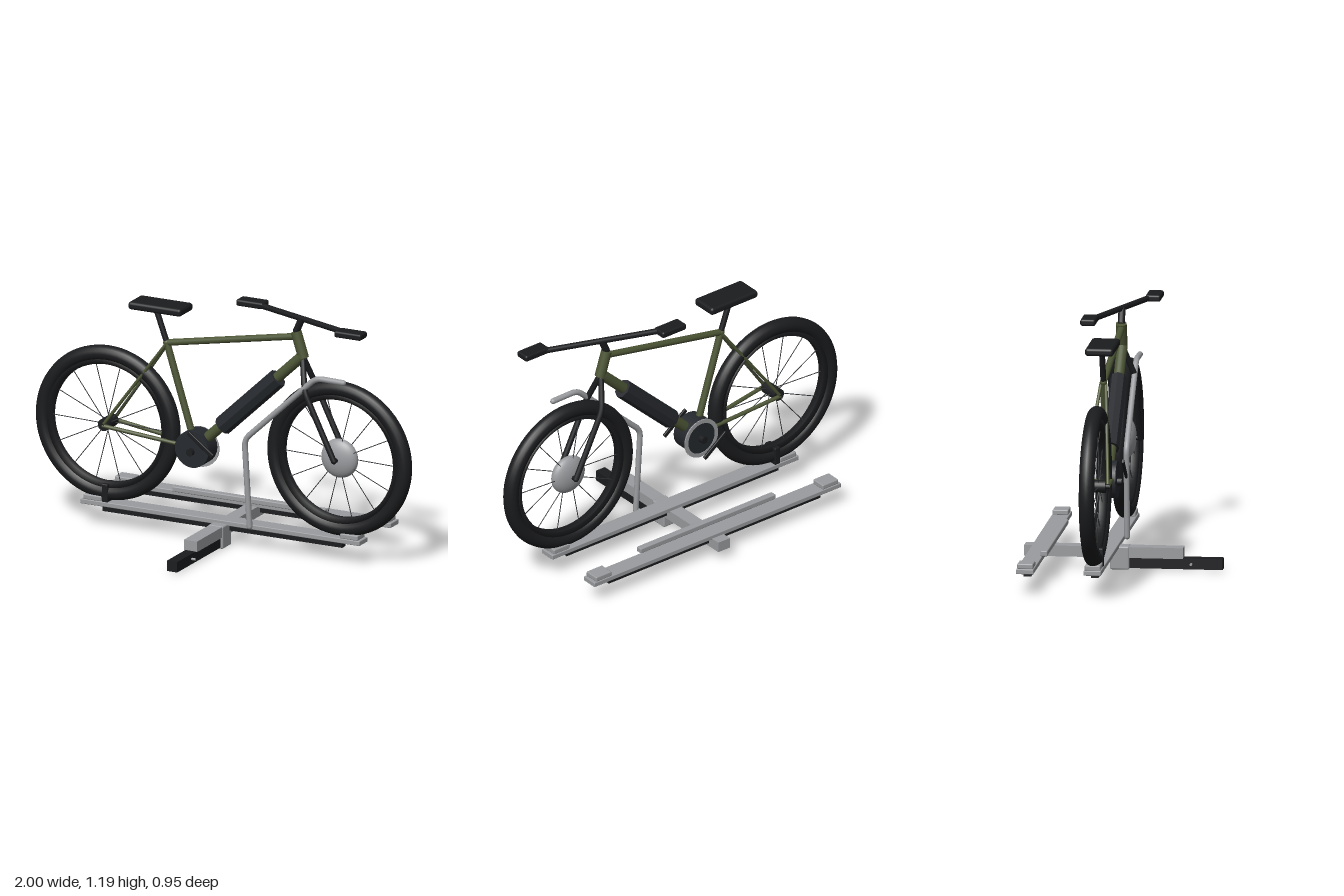
import * as THREE from 'three';
import { RoundedBoxGeometry } from 'three/addons/geometries/RoundedBoxGeometry.js';

const mat = (color) => new THREE.MeshStandardMaterial({ color });
const V = (x, y, z = 0) => new THREE.Vector3(x, y, z);

export function createModel() {
  const black = mat(0x1b1c1e), slate = mat(0x25282d), green = mat(0x4c5535);
  const silver = mat(0x9a9c9f), wire = mat(0x3a3c3f);
  const model = new THREE.Group();
  const bike = new THREE.Group();
  bike.name = 'bicycle';
  bike.position.z = -0.06;
  const rack = new THREE.Group();
  rack.name = 'carrierRack';
  model.add(bike, rack);

  const add = (parent, name, geometry, material, x = 0, y = 0, z = 0) => {
    const mesh = new THREE.Mesh(geometry, material);
    mesh.name = name;
    mesh.position.set(x, y, z);
    parent.add(mesh);
    return mesh;
  };
  // straight round tube between two points
  const tube = (parent, name, a, b, r, material, sides = 14, r2 = r) => {
    const d = b.clone().sub(a);
    const mesh = add(parent, name, new THREE.CylinderGeometry(r2, r, d.length(), sides), material);
    mesh.position.copy(a).addScaledVector(d, 0.5);
    mesh.quaternion.setFromUnitVectors(V(0, 1, 0), d.normalize());
    return mesh;
  };
  // box given by its lower and upper corners
  const box = (parent, name, a, b, material, bevel = 0) => {
    const s = b.map((v, i) => v - a[i]);
    const g = bevel ? new RoundedBoxGeometry(...s, 2, bevel) : new THREE.BoxGeometry(...s);
    return add(parent, name, g, material, ...a.map((v, i) => v + s[i] / 2));
  };
  const bentTube = (parent, name, points, r, material) => {
    const path = new THREE.CurvePath();
    // straight runs with short rounded corners
    let last = points[0];
    for (let i = 1; i < points.length - 1; i++) {
      const p = points[i];
      const before = p.clone().add(points[i - 1].clone().sub(p).setLength(0.035));
      const after = p.clone().add(points[i + 1].clone().sub(p).setLength(0.035));
      path.add(new THREE.LineCurve3(last, before));
      path.add(new THREE.QuadraticBezierCurve3(before, p, after));
      last = after;
    }
    const end = points[points.length - 1];
    path.add(new THREE.LineCurve3(last, end));
    add(parent, name, new THREE.TubeGeometry(path, 60, r, 12), material);
    for (const p of [points[0], end]) add(parent, name + 'End', new THREE.SphereGeometry(r, 12, 8), material, p.x, p.y, p.z);
  };

  // wheels: tyre, rim and spokes
  const axleY = 0.515;
  for (const [name, x] of [['rearWheel', -0.618], ['frontWheel', 0.618]]) {
    const wheel = new THREE.Group();
    wheel.name = name;
    wheel.position.set(x, axleY, 0);
    bike.add(wheel);
    add(wheel, 'tyre', new THREE.TorusGeometry(0.345, 0.037, 16, 72), black);
    const rim = [[0.293, -0.018], [0.293, 0.018], [0.322, 0.025], [0.322, -0.025], [0.293, -0.018]]
      .map(([r, y]) => new THREE.Vector2(r, y));
    const rimMat = black.clone();
    rimMat.side = THREE.DoubleSide;
    add(wheel, 'rim', new THREE.LatheGeometry(rim, 72), rimMat).rotation.x = Math.PI / 2;
    for (let i = 0; i < 14; i++) {
      const a = (i / 14) * Math.PI * 2, c = Math.cos(a), s = Math.sin(a);
      tube(wheel, 'spoke', V(c * 0.02, s * 0.02, i % 2 ? 0.018 : -0.018), V(c * 0.3, s * 0.3), 0.0022, wire, 5);
    }
  }
  add(bike, 'frontHub', new THREE.SphereGeometry(0.096, 32, 20), silver, 0.618, axleY).scale.z = 0.45;
  tube(bike, 'frontAxle', V(0.618, axleY, -0.064), V(0.618, axleY, 0.064), 0.012, black);
  tube(bike, 'rearHub', V(-0.618, axleY, -0.05), V(-0.618, axleY, 0.05), 0.03, black, 20);
  tube(bike, 'rearAxle', V(-0.618, axleY, -0.068), V(-0.618, axleY, 0.068), 0.012, black);

  // frame
  const bottom = V(-0.15, 0.46), seatTop = V(-0.305, 0.957);
  const headTop = V(0.385, 1.11), headLow = V(0.425, 0.985);
  tube(bike, 'seatTube', bottom, seatTop, 0.017, green);
  tube(bike, 'topTube', seatTop, V(0.39, 1.088), 0.016, green);
  tube(bike, 'downTube', V(-0.13, 0.475), V(0.42, 0.995), 0.026, green, 18);
  tube(bike, 'headTube', headLow, headTop, 0.026, green, 18);
  add(bike, 'seatJoint', new THREE.SphereGeometry(0.018, 14, 10), green, seatTop.x, seatTop.y);
  for (const s of [-1, 1]) {
    tube(bike, 'seatStay', V(seatTop.x, 0.95, s * 0.012), V(-0.618, axleY, s * 0.06), 0.008, green, 10);
    tube(bike, 'chainStay', V(-0.16, 0.465, s * 0.025), V(-0.618, axleY, s * 0.06), 0.01, green, 10);
    // fork leg, bent outwards around the tyre
    bentTube(bike, 'forkLeg', [V(0.425, 0.975, s * 0.008), V(0.462, 0.835, s * 0.061), V(0.618, axleY, s * 0.061)], 0.014, black);
  }

  // battery on the down tube
  const battery = add(bike, 'battery', new THREE.CylinderGeometry(0.047, 0.047, 0.41, 8), slate, 0.14, 0.725);
  battery.material = slate.clone();
  battery.material.flatShading = true;
  battery.rotation.z = Math.atan2(0.52, 0.55) - Math.PI / 2;
  battery.scale.z = 0.85;

  // drive unit, chainring and cranks
  tube(bike, 'driveUnit', V(-0.148, 0.46, -0.048), V(-0.148, 0.46, 0.048), 0.09, slate, 24);
  const ring = new THREE.Shape().absarc(0, 0, 0.1, 0, Math.PI * 2);
  ring.holes.push(new THREE.Path().absarc(0, 0, 0.08, 0, Math.PI * 2, true));
  add(bike, 'chainring', new THREE.ExtrudeGeometry(ring, { depth: 0.006, bevelEnabled: false, curveSegments: 24 }),
    silver, -0.15, 0.45, -0.05);
  tube(bike, 'crankAxle', V(-0.15, 0.45, -0.075), V(-0.15, 0.45, 0.07), 0.018, black);
  for (const s of [-1, 1]) {
    const crank = add(bike, 'crank', new RoundedBoxGeometry(0.165, 0.022, 0.012, 2, 0.004), black,
      -0.15 + s * 0.063, 0.45 + s * 0.05, s * 0.074);
    crank.rotation.z = -0.65;
  }

  // saddle
  tube(bike, 'seatPost', seatTop, V(-0.365, 1.125), 0.014, black);
  box(bike, 'saddle', [-0.48, 1.114, -0.068], [-0.198, 1.152, 0.068], black, 0.014);

  // stem, turned handlebar and grips
  tube(bike, 'stem', headTop, V(0.415, 1.178), 0.017, black);
  tube(bike, 'handlebar', V(0.1, 1.178, -0.115), V(0.73, 1.178, 0.11), 0.014, black);
  for (const s of [-1, 1])
    add(bike, 'grip', new RoundedBoxGeometry(0.143, 0.032, 0.073, 2, 0.01), black, 0.414 + s * 0.322, 1.179, s * 0.116);

  // hitch and spine
  box(rack, 'hitchBar', [-0.027, 0.01, 0.02], [0.027, 0.062, 0.475], black);
  tube(rack, 'hitchPin', V(-0.047, 0.036, 0.325), V(0.047, 0.036, 0.325), 0.006, silver, 10);
  box(rack, 'hitchBlock', [-0.04, 0.003, -0.062], [0.04, 0.115, 0.03], silver, 0.008);
  box(rack, 'spine', [-0.035, 0.06, -0.472], [0.035, 0.112, 0.286], silver);

  // two wheel trays with dark rails beneath and pads at the ends
  for (const z of [-0.06, -0.382]) {
    box(rack, 'trayRail', [-0.64, 0.077, z - 0.018], [0.64, 0.107, z + 0.018], black);
    box(rack, 'tray', [-0.745, 0.106, z - 0.042], [0.745, 0.13, z + 0.042], silver, 0.004);
    for (const s of [-1, 1])
      add(rack, 'trayPad', new RoundedBoxGeometry(0.095, 0.026, 0.076, 2, 0.006), silver, s * 0.685, 0.141, z);
  }
  box(rack, 'foldedArm', [-0.41, 0.13, -0.348], [0.405, 0.156, -0.315], silver, 0.005);

  // wheel strap and hook arm reaching over the front tyre
  box(rack, 'wheelStrap', [-0.634, 0.125, -0.1], [-0.602, 0.218, -0.021], black, 0.005);
  bentTube(rack, 'hookArm', [V(0.165, 0.125, -0.005), V(0.138, 0.555, -0.005), V(0.52, 0.913, -0.005), V(0.665, 0.91, -0.005)], 0.014, silver);

  return model;
}
